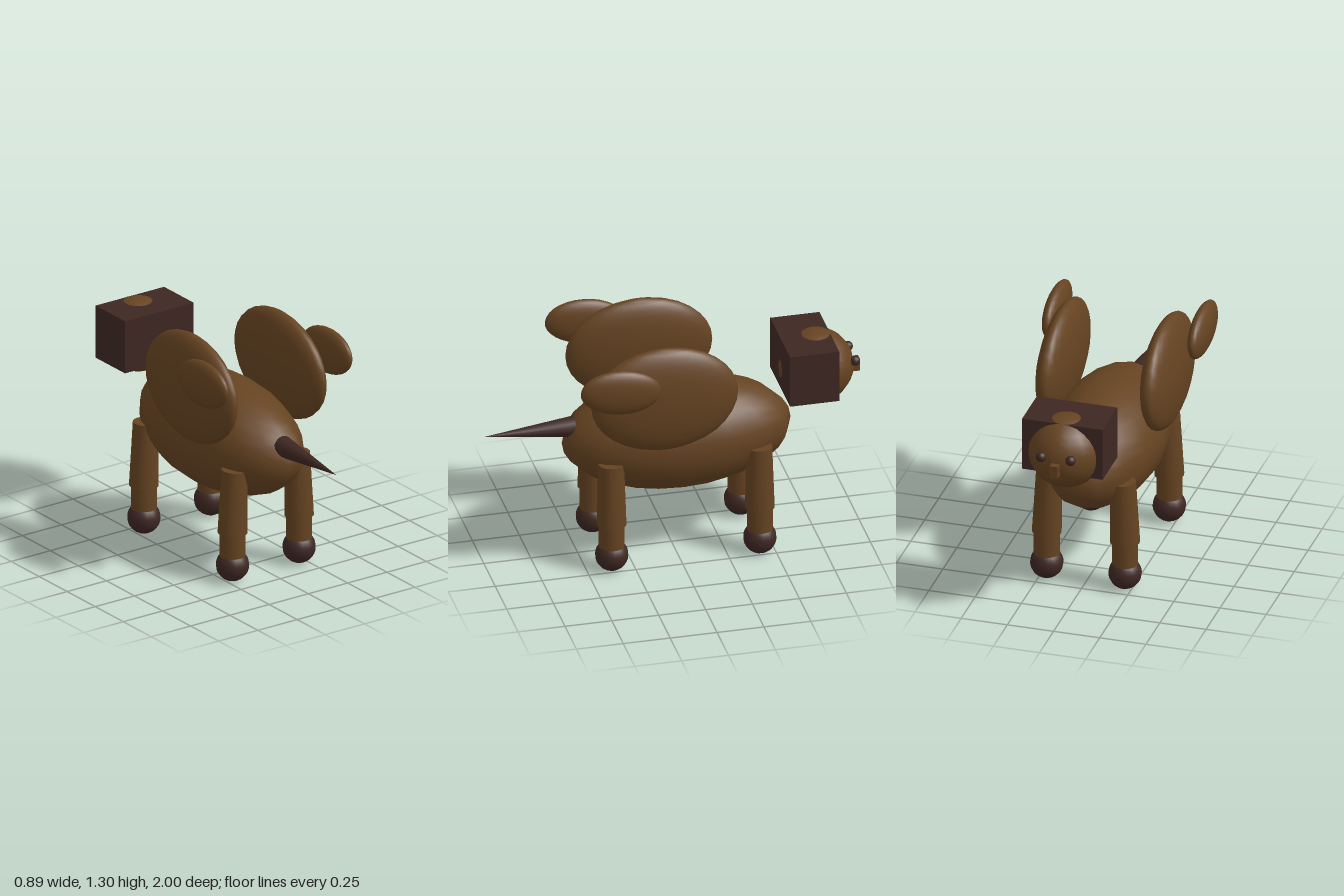
import * as THREE from 'three';

export function createModel() {
  const model = new THREE.Group();
  model.name = 'wingedAnimal';

  const brown = new THREE.MeshStandardMaterial({ color: 0x654321 });
  brown.name = 'brown fur';
  const dark = new THREE.MeshStandardMaterial({ color: 0x3e2723 });
  dark.name = 'dark brown';

  function add(name, geometry, material, x, y, z, parent = model) {
    const mesh = new THREE.Mesh(geometry, material);
    mesh.name = name;
    mesh.position.set(x, y, z);
    parent.add(mesh);
    return mesh;
  }

  // Ellipsoid from a sphere scaled to three half-sizes
  function ellipsoid(rx, ry, rz, w = 24, h = 16) {
    return new THREE.SphereGeometry(1, w, h).scale(rx, ry, rz);
  }

  // Body
  add('body', ellipsoid(0.303, 0.302, 0.61, 16, 16), brown, 0, 0.66, -0.025);

  // Head, with a block of mane behind the face
  const head = new THREE.Group();
  head.name = 'head';
  model.add(head);
  add('skull', new THREE.SphereGeometry(0.198, 16, 16), brown, 0, 0.948, -0.769, head);
  add('mane', new THREE.BoxGeometry(0.436, 0.292, 0.262), dark, 0, 0.985, -0.711, head);
  add('nose', new THREE.BoxGeometry(0.042, 0.07, 0.06), brown, 0, 0.927, -0.97, head);

  // Tail cone, pointing along +z
  const tail = new THREE.ConeGeometry(0.057, 0.48, 16).rotateX(Math.PI / 2);
  add('tail', tail, dark, 0, 0.75, 0.76);

  for (const side of [1, -1]) {
    const label = side > 0 ? 'left' : 'right';

    // Eye
    add(label + 'Eye', new THREE.SphereGeometry(0.027, 12, 10), dark, side * 0.08, 0.988, -0.96, head);

    // Wing with a smaller tip on its outer side
    const wing = add(label + 'Wing', ellipsoid(0.092, 0.292, 0.392), brown, side * 0.283, 1.012, 0.105);
    wing.rotation.z = side * 0.03;
    const tip = add(label + 'WingTip', ellipsoid(0.052, 0.126, 0.215), brown, side * 0.394, 1.142, 0.365);
    tip.rotation.x = -0.1;

    // Legs: splayed upper part, straight lower part and round paw
    for (const [end, z] of [['front', -0.42], ['hind', 0.37]]) {
      const leg = new THREE.Group();
      leg.name = label + end + 'Leg';
      leg.position.set(side * 0.212, 0, z);
      model.add(leg);
      const upper = add('upperLeg', new THREE.CylinderGeometry(0.068, 0.078, 0.352, 16), brown, side * -0.006, 0.443, 0, leg);
      upper.rotation.z = side * 0.035;
      add('lowerLeg', new THREE.CylinderGeometry(0.068, 0.068, 0.18, 16), brown, 0, 0.19, 0, leg);
      add('paw', new THREE.SphereGeometry(0.087, 16, 16), dark, 0, 0.087, 0, leg);
    }
  }

  return model;
}
